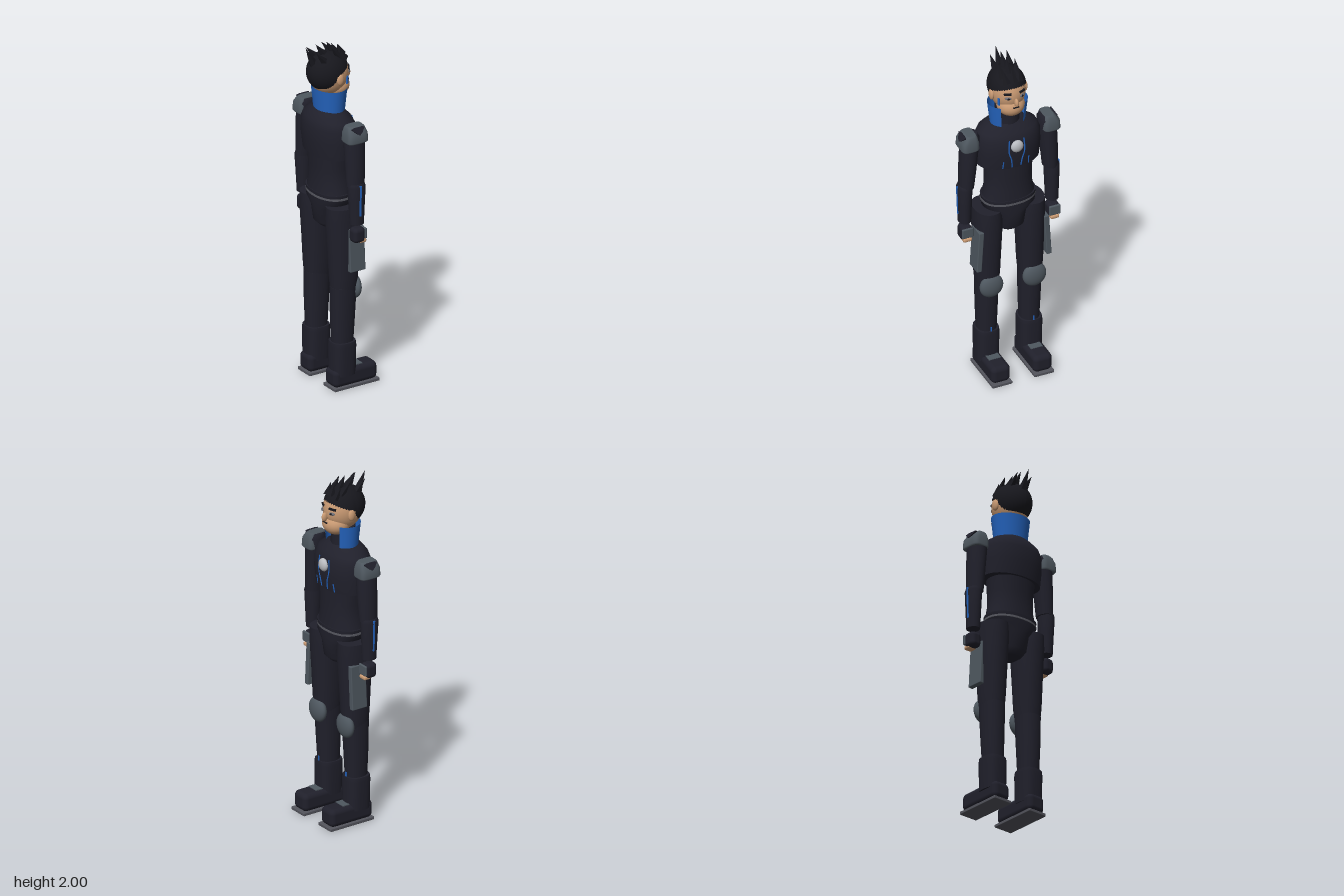
import * as THREE from 'three';
import { RoundedBoxGeometry } from 'three/addons/geometries/RoundedBoxGeometry.js';

const paint = (name, color, side = THREE.FrontSide) => {
  const m = new THREE.MeshStandardMaterial({ color, side });
  m.name = name;
  return m;
};

// Closed tube of rounded cross-sections, bottom to top: [y, centreX, radiusX, centreZ, radiusZ]
function loft(sections, power = 2, sides = 32) {
  const pos = [], idx = [];
  const ring = ([y, cx, rx, cz, rz]) => {
    const start = pos.length / 3;
    for (let j = 0; j < sides; j++) {
      const a = (j / sides) * Math.PI * 2, c = Math.cos(a), s = Math.sin(a);
      const k = 2 / power;
      pos.push(cx + rx * Math.sign(c) * Math.abs(c) ** k, y, cz + rz * Math.sign(s) * Math.abs(s) ** k);
    }
    return start;
  };
  const rows = sections.map(ring);
  for (let i = 0; i < rows.length - 1; i++) for (let j = 0; j < sides; j++) {
    const n = (j + 1) % sides, a = rows[i], b = rows[i + 1];
    idx.push(a + j, b + j, a + n, b + j, b + n, a + n);
  }
  [[sections[0], false], [sections.at(-1), true]].forEach(([s, top]) => {
    const r = ring(s), mid = pos.length / 3;
    pos.push(s[1], s[0], s[3]);
    for (let j = 0; j < sides; j++) {
      const n = (j + 1) % sides;
      idx.push(mid, r + (top ? n : j), r + (top ? j : n));
    }
  });
  const g = new THREE.BufferGeometry();
  g.setAttribute('position', new THREE.Float32BufferAttribute(pos, 3));
  g.setIndex(idx);
  g.computeVertexNormals();
  return g;
}

const ball = (rx, ry, rz) => new THREE.SphereGeometry(1, 32, 22).scale(rx, ry, rz);
const box = (x, y, z, r) => r ? new RoundedBoxGeometry(x, y, z, 3, r) : new THREE.BoxGeometry(x, y, z);

// Hair shell: a stretched sphere whose lower edge follows the hairline
function hairCap() {
  const g = new THREE.SphereGeometry(1, 48, 24);
  const p = g.attributes.position, uv = g.attributes.uv;
  for (let i = 0; i < p.count; i++) {
    const a = uv.getX(i) * Math.PI * 2, c = -Math.cos(a);
    const limit = c > 0 ? 1.65 - 0.43 * c : 1.65 + 0.95 * Math.sqrt(-c);
    const t = (1 - uv.getY(i)) * limit;
    p.setXYZ(i, 0.12 * c * Math.sin(t), 0.115 * Math.cos(t), 0.105 * Math.sin(a) * Math.sin(t));
  }
  g.computeVertexNormals();
  return g;
}

// Faceted spike from a base point to a tip
function spike(base, tip, radius) {
  const a = new THREE.Vector3(...base), d = new THREE.Vector3(...tip).sub(a);
  const q = new THREE.Quaternion().setFromUnitVectors(new THREE.Vector3(0, 1, 0), d.clone().normalize());
  const g = new THREE.ConeGeometry(radius, d.length(), 5).toNonIndexed();
  g.translate(0, d.length() / 2, 0).applyQuaternion(q).translate(...base);
  g.computeVertexNormals();
  return g;
}

export function createModel() {
  const group = new THREE.Group();
  const suit = paint('dark suit', 0x20202b);
  const hair = paint('hair black', 0x17171d, THREE.DoubleSide);
  const skin = paint('skin', 0xc99a73);
  const blue = paint('blue trim', 0x2463bd, THREE.DoubleSide);
  const grey = paint('armour grey', 0x4e575f);
  const sole = paint('sole grey', 0x53545c);
  const silver = paint('silver', 0xb9bbc0);
  const eyeGrey = paint('eye grey', 0x6f7078);

  const add = (name, geo, mat, pos = [0, 0, 0], rot = [0, 0, 0]) => {
    const m = new THREE.Mesh(geo, mat);
    m.name = name;
    m.position.set(...pos);
    m.rotation.set(...rot);
    group.add(m);
    return m;
  };
  const tube = (name, pts) => add(name, new THREE.TubeGeometry(
    new THREE.CatmullRomCurve3(pts.map(p => new THREE.Vector3(...p))), 16, 0.004, 6), blue);

  // Torso; the figure looks along +x
  add('jacket', loft([
    [1.36, -0.03, 0.118, 0, 0.18], [1.45, -0.03, 0.13, 0, 0.187], [1.53, -0.033, 0.127, 0, 0.186],
    [1.57, -0.037, 0.11, 0, 0.168], [1.6, -0.04, 0.085, 0, 0.125], [1.615, -0.04, 0.07, 0, 0.09]], 2.1, 48), suit);
  add('waist', loft([[1.12, -0.024, 0.108, 0, 0.152], [1.2, -0.023, 0.102, 0, 0.134],
    [1.28, -0.024, 0.104, 0, 0.133], [1.38, -0.027, 0.11, 0, 0.142]], 2.2), suit);
  add('beltStripe', loft([[1.11, -0.024, 0.112, 0, 0.157], [1.122, -0.024, 0.111, 0, 0.156]], 2.2), sole);
  add('pelvis', loft([[0.92, -0.02, 0.06, 0, 0.055], [0.95, -0.02, 0.092, 0, 0.083], [1.04, -0.02, 0.103, 0, 0.098],
    [1.08, -0.023, 0.108, 0, 0.15], [1.14, -0.024, 0.11, 0, 0.155]], 2.3), suit);
  add('chestEmblem', ball(0.022, 0.037, 0.036), silver, [0.097, 1.505, 0]);

  // Neck and open collar
  add('neck', new THREE.CylinderGeometry(0.066, 0.07, 0.13, 28), suit, [-0.035, 1.645, 0]);
  const collar = new THREE.CylinderGeometry(0.115, 0.1, 0.13, 40, 1, true, Math.PI / 2 + 0.68, Math.PI * 2 - 1.36);
  add('collar', collar.scale(0.8, 1, 1), blue, [-0.028, 1.675, 0]);

  // Head
  add('skull', ball(0.113, 0.122, 0.098), skin, [-0.03, 1.815, 0]);
  add('jaw', ball(0.078, 0.066, 0.078), skin, [0.012, 1.737, 0]);
  add('nose', ball(0.018, 0.026, 0.012), skin, [0.09, 1.788, 0]);
  add('mouth', box(0.008, 0.006, 0.035), hair, [0.086, 1.755, 0]);
  add('cheekMark', box(0.013, 0.045, 0.008), blue, [0.036, 1.785, 0.081], [0, 0.55, 0]);
  add('hairCap', hairCap(), hair, [-0.04, 1.83, 0]);
  [
    [[-0.125, 1.88, 0], [-0.18, 1.995, 0]], [[-0.06, 1.925, 0], [-0.115, 2, 0]],
    [[0.0, 1.925, 0], [-0.045, 2, 0]], [[0.05, 1.905, 0], [0.025, 1.97, 0]],
  ].forEach(([a, b]) => add('hairSpike', spike(a, b, 0.027), hair));

  for (const s of [1, -1]) {
    // Face and side hair
    add('ear', ball(0.022, 0.034, 0.014), skin, [-0.02, 1.805, 0.099 * s]);
    add('eye', ball(0.007, 0.009, 0.018), eyeGrey, [0.071, 1.815, 0.042 * s], [0, -0.5 * s, 0]);
    add('pupil', ball(0.004, 0.007, 0.007), hair, [0.077, 1.815, 0.041 * s], [0, -0.5 * s, 0]);
    add('eyebrow', box(0.01, 0.011, 0.042), hair, [0.069, 1.842, 0.043 * s], [0.12 * s, -0.5 * s, 0]);
    [
      [[-0.085, 1.905, 0.042], [-0.145, 1.975, 0.05]], [[0.01, 1.91, 0.04], [-0.045, 1.98, 0.052]],
      [[0.045, 1.895, 0.035], [0.015, 1.96, 0.045]],
    ].forEach(([a, b]) => add('hairSpike', spike([a[0], a[1], a[2] * s], [b[0], b[1], b[2] * s], 0.025), hair));

    // Glowing jacket lines
    tube('innerChestLine', [[0.092, 1.545, 0.043 * s], [0.095, 1.47, 0.046 * s], [0.096, 1.42, 0.032 * s], [0.089, 1.37, 0.026 * s]]);
    tube('outerChestLine', [[0.086, 1.415, 0.074 * s], [0.078, 1.365, 0.076 * s]]);

    // Arm
    add('upperArm', loft([[1.24, -0.022, 0.053, 0.25 * s, 0.042], [1.36, -0.02, 0.058, 0.243 * s, 0.048],
      [1.5, -0.02, 0.061, 0.233 * s, 0.052], [1.56, -0.02, 0.059, 0.226 * s, 0.05], [1.585, -0.02, 0.04, 0.222 * s, 0.035]]), suit);
    add('forearm', loft([[1.015, -0.02, 0.04, 0.26 * s, 0.036], [1.14, -0.021, 0.047, 0.26 * s, 0.04],
      [1.235, -0.022, 0.053, 0.26 * s, 0.043], [1.255, -0.022, 0.047, 0.258 * s, 0.038]]), suit);
    add('forearmStripe', box(0.01, 0.18, 0.008), blue, [-0.022, 1.16, 0.3 * s], [0.035 * s, 0, 0]);
    add('shoulderPad', loft([[1.497, -0.02, 0.062, 0.242 * s, 0.048], [1.505, -0.02, 0.066, 0.242 * s, 0.053],
      [1.55, -0.02, 0.064, 0.241 * s, 0.05], [1.582, -0.02, 0.054, 0.235 * s, 0.034], [1.59, -0.02, 0.046, 0.232 * s, 0.026]], 4), grey);
    const mark = new THREE.Shape();
    [[-0.042, 0.018], [-0.025, 0.024], [0.025, 0.024], [0.042, 0.018], [0.018, -0.01], [0, -0.022], [-0.018, -0.01]]
      .forEach(([x, y], i) => i ? mark.lineTo(x, y) : mark.moveTo(x, y));
    const markGeo = new THREE.ExtrudeGeometry(mark, { depth: 0.008, bevelEnabled: false }).translate(0, 0, -0.004);
    add('shoulderMark', markGeo, suit, [-0.02, 1.567, 0.281 * s], [-0.54 * s, 0, 0]);

    // Gloved hand
    add('glove', box(0.075, 0.088, 0.068, 0.024), suit, [-0.017, 0.948, 0.26 * s]);
    add('knucklePlate', box(0.014, 0.06, 0.066, 0.006), grey, [0.021, 0.955, 0.26 * s]);
    add('fingers', box(0.045, 0.024, 0.052, 0.01), skin, [0.007, 0.911, 0.26 * s]);

    // Leg
    add('thigh', loft([[0.57, -0.02, 0.074, 0.128 * s, 0.062], [0.66, -0.02, 0.081, 0.128 * s, 0.07],
      [0.82, -0.02, 0.09, 0.127 * s, 0.075], [1, -0.02, 0.103, 0.126 * s, 0.08], [1.075, -0.02, 0.102, 0.128 * s, 0.076]], 2.2), suit);
    add('shin', loft([[0.25, -0.028, 0.061, 0.127 * s, 0.054], [0.42, -0.026, 0.069, 0.128 * s, 0.06],
      [0.6, -0.022, 0.076, 0.128 * s, 0.064]], 2.2), suit);
    add('kneePad', ball(0.034, 0.072, 0.069), grey, [0.043, 0.582, 0.128 * s]);
    add('thighPlate', box(0.098, 0.255, 0.03, 0.005), grey, [0.014, 0.832, 0.201 * s], [-0.06 * s, 0, 0]);

    // Boot
    add('shinMark', box(0.008, 0.026, 0.008), blue, [0.037, 0.288, 0.127 * s]);
    add('bootCuff', loft([[0.08, -0.028, 0.069, 0.128 * s, 0.064], [0.25, -0.028, 0.072, 0.128 * s, 0.067],
      [0.275, -0.028, 0.069, 0.128 * s, 0.064]], 2.8), suit);
    add('foot', box(0.28, 0.105, 0.113, 0.03), suit, [0.032, 0.066, 0.125 * s]);
    add('bootStrap', box(0.045, 0.008, 0.07), grey, [0.06, 0.118, 0.125 * s]);
    add('bootSole', box(0.29, 0.018, 0.118, 0.004), sole, [0.035, 0.009, 0.125 * s]);
  }
  return group;
}
